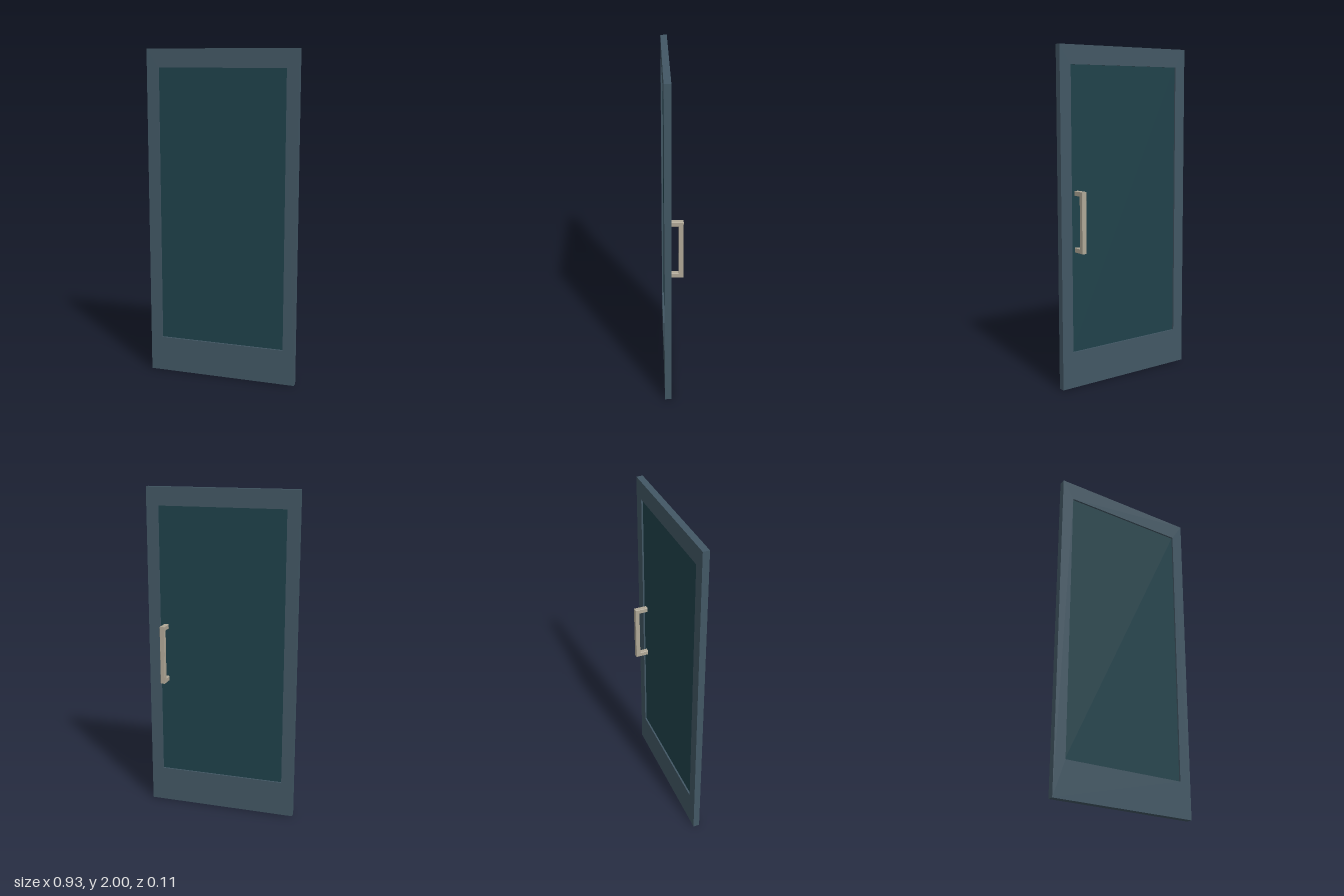
import * as THREE from 'three';

function polygon(points, Type = THREE.Shape) {
  return new Type(points.map(([x, y]) => new THREE.Vector2(x, y)));
}

function addMesh(group, name, geometry, color) {
  const mesh = new THREE.Mesh(geometry, new THREE.MeshStandardMaterial({ color, flatShading: true }));
  mesh.name = name;
  group.add(mesh);
  return mesh;
}

export function createModel() {
  const door = new THREE.Group();
  door.name = 'glazedDoor';

  // Frame: one slab with a window opening and a taller bottom rail
  const halfWidth = 0.463, openHalf = 0.39, openBottom = 0.217, openTop = 1.89;
  const outline = polygon([[-halfWidth, 0], [halfWidth, 0], [halfWidth, 2], [-halfWidth, 2]]);
  outline.holes.push(polygon([
    [-openHalf, openBottom], [-openHalf, openTop], [openHalf, openTop], [openHalf, openBottom],
  ], THREE.Path));
  const frame = addMesh(door, 'frame',
    new THREE.ExtrudeGeometry(outline, { depth: 0.039, bevelEnabled: false }), 0x425764);
  frame.position.z = 0.016;

  // Glass panel, recessed on both faces
  const glass = addMesh(door, 'glassPanel',
    new THREE.BoxGeometry(2 * openHalf, openTop - openBottom, 0.018), 0x1f414a);
  glass.position.set(0, (openTop + openBottom) / 2, 0.035);

  // Pull handle on the back: a square-section bracket with softened edges
  const bevel = 0.002, width = 0.03;
  const back = -0.055, inner = -0.028, root = 0.026;
  const bracket = polygon([
    [root, 0.813], [root, 0.841], [inner, 0.841], [inner, 1.145],
    [root, 1.145], [root, 1.173], [back, 1.173], [back, 0.813],
  ]);
  const handleGeometry = new THREE.ExtrudeGeometry(bracket, {
    depth: width - 2 * bevel, bevelThickness: bevel, bevelSize: bevel, bevelOffset: -bevel, bevelSegments: 1,
  });
  handleGeometry.translate(0, 0, bevel - width / 2).rotateY(-Math.PI / 2);
  addMesh(door, 'pullHandle', handleGeometry, 0xb0a897).position.x = 0.353;

  return door;
}
